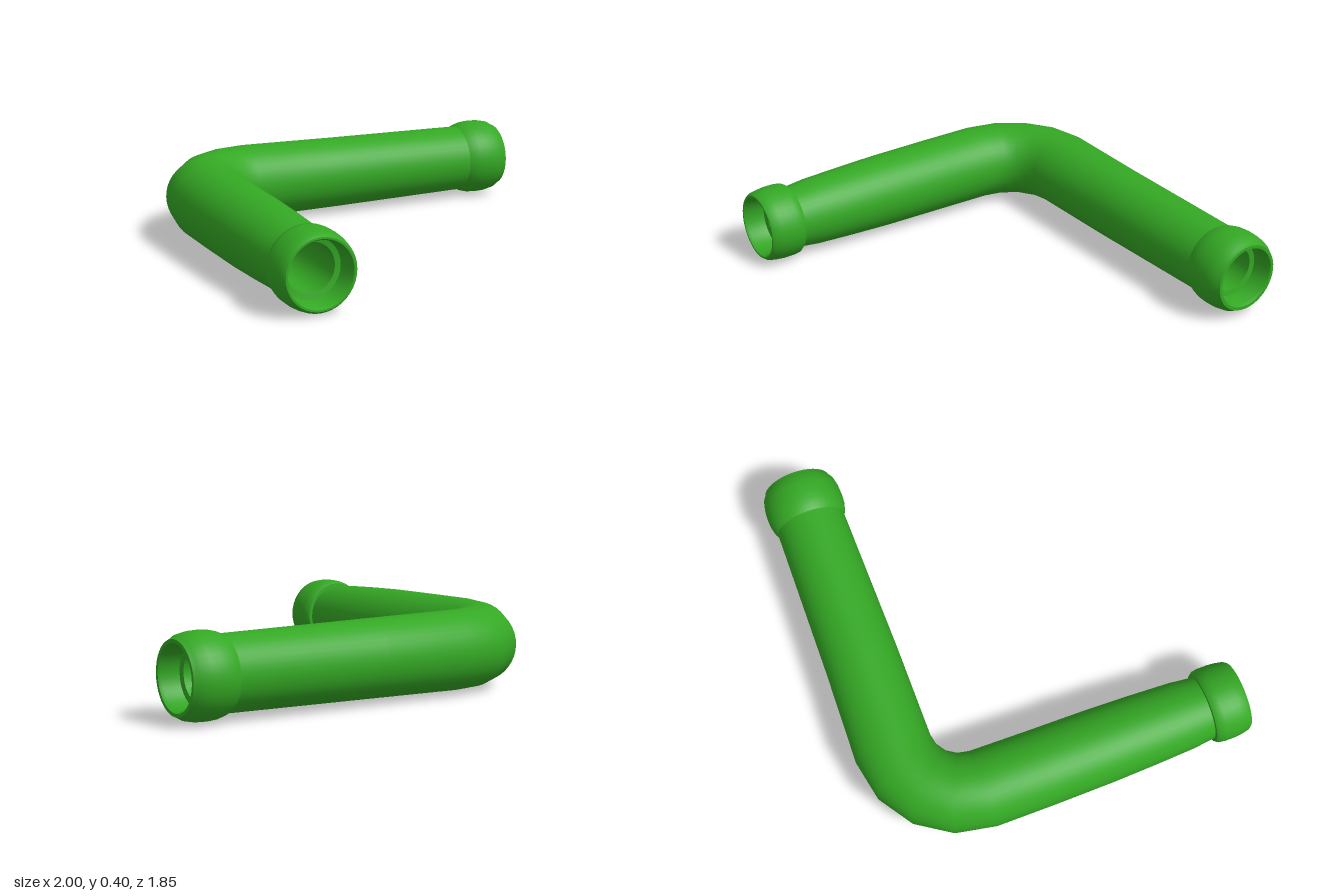
import * as THREE from 'three';
import { toCreasedNormals } from 'three/addons/utils/BufferGeometryUtils.js';

const SIDES = 40;
const UP = new THREE.Vector3(0, 1, 0);
const BEND = { x: -0.475, z: -0.40, r: 0.334 };
const AXIS_X = -0.812, AXIS_Z = -0.727;

// Rings across the front arm, the elbow and the side arm
const front = (z, r) => ({ p: new THREE.Vector3(AXIS_X, 0.209 - (z + 0.4) * 0.0145, z), side: new THREE.Vector3(1, 0, 0), r });
const side = (x, r) => ({ p: new THREE.Vector3(x, 0.208, AXIS_Z), side: new THREE.Vector3(0, 0, 1), r });
function elbow(deg, r) {
  const a = THREE.MathUtils.degToRad(deg), c = Math.cos(a), s = Math.sin(a);
  return {
    p: new THREE.Vector3(BEND.x - BEND.r * c, 0.209, BEND.z - BEND.r * s),
    side: new THREE.Vector3(c, 0, s), r,
  };
}

// Skin a row of circular rings
function skin(rings) {
  const pos = [], index = [];
  for (const ring of rings) {
    for (let j = 0; j < SIDES; j++) {
      const a = (j / SIDES) * Math.PI * 2;
      const v = ring.p.clone()
        .addScaledVector(ring.side, Math.cos(a) * ring.r)
        .addScaledVector(UP, Math.sin(a) * ring.r);
      pos.push(v.x, v.y, v.z);
    }
  }
  for (let i = 0; i < rings.length - 1; i++) {
    for (let j = 0; j < SIDES; j++) {
      const k = (j + 1) % SIDES;
      const a = i * SIDES + j, b = i * SIDES + k, c = a + SIDES, d = b + SIDES;
      index.push(a, c, b, b, c, d);
    }
  }
  const g = new THREE.BufferGeometry();
  g.setAttribute('position', new THREE.Float32BufferAttribute(pos, 3));
  g.setIndex(index);
  return toCreasedNormals(g, 0.6);
}

export function createModel() {
  const group = new THREE.Group();
  const mat = new THREE.MeshStandardMaterial({ color: 0x34a824 });
  const add = (name, rings) => {
    const mesh = new THREE.Mesh(skin(rings), mat);
    mesh.name = name;
    group.add(mesh);
  };
  const angles = [0, 22.5, 45, 67.5, 90];

  // Outer wall of the bent pipe
  add('pipe', [
    front(0.76, 0.154), front(0.735, 0.156), front(0.62, 0.169), front(0.42, 0.178),
    front(0.2, 0.185), front(-0.1, 0.188),
    ...angles.map((a) => elbow(a, 0.19)),
    side(0, 0.184), side(0.78, 0.174),
  ]);

  // Collar on the front arm, from the recessed mouth over the rim
  add('frontCollar', [
    front(0.81, 0.115), front(0.815, 0.14), front(0.905, 0.148), front(0.92, 0.156),
    front(0.92, 0.165), front(0.905, 0.176), front(0.87, 0.183), front(0.83, 0.187),
    front(0.78, 0.187), front(0.75, 0.183), front(0.735, 0.172), front(0.733, 0.154),
  ]);

  // Collar on the side arm, flaring out and ending in a recessed mouth
  add('sideCollar', [
    side(0.77, 0.173), side(0.795, 0.186), side(0.83, 0.195), side(0.87, 0.198),
    side(0.92, 0.196), side(0.965, 0.187), side(0.982, 0.176), side(1.0, 0.168),
    side(1.0, 0.152), side(0.985, 0.144), side(0.90, 0.138), side(0.895, 0.112),
  ]);

  // Hollow inside, facing inward
  add('bore', [
    side(0.895, 0.112),
    ...angles.slice().reverse().map((a) => elbow(a, 0.118)),
    front(0.81, 0.115),
  ]);
  return group;
}
